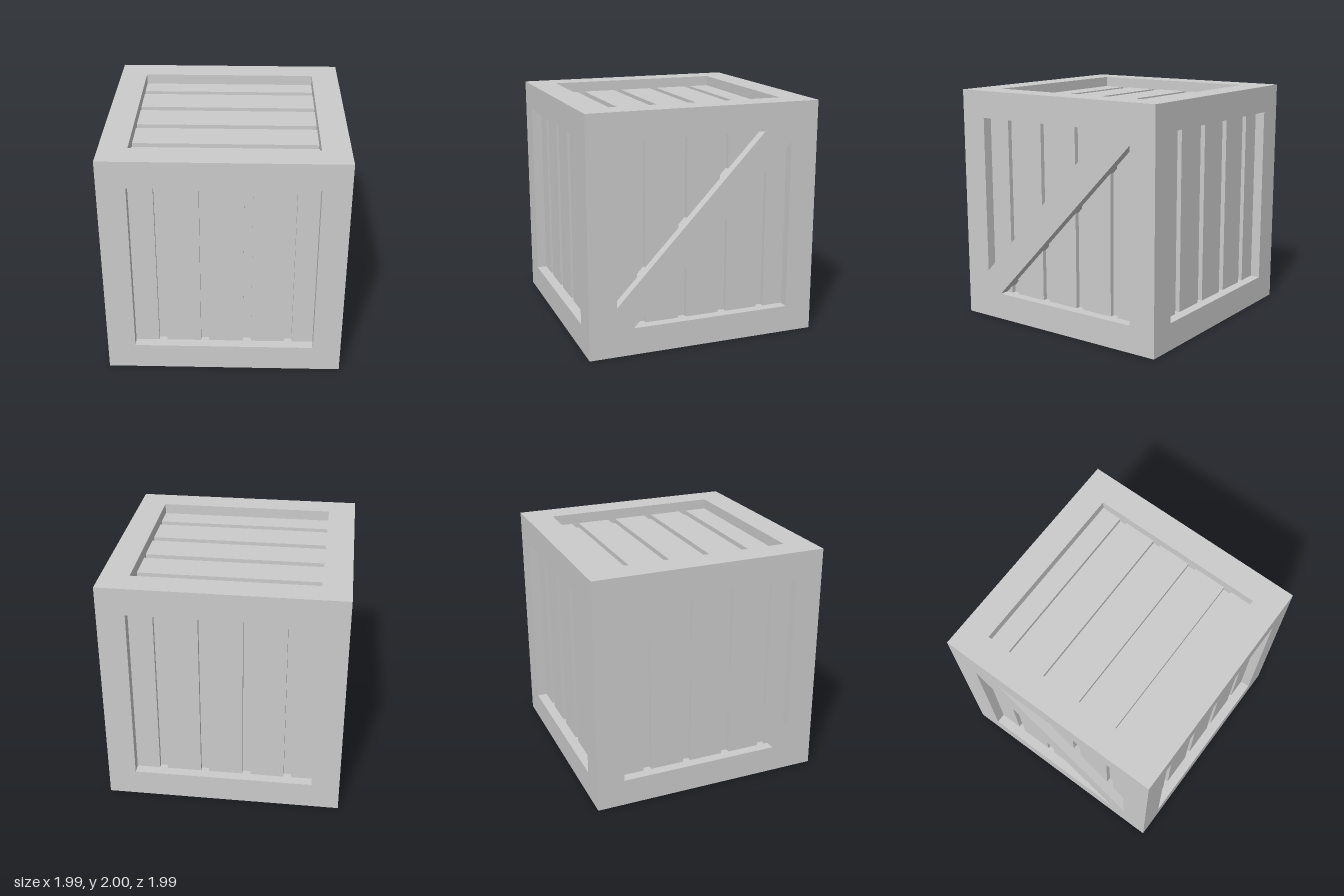
import * as THREE from 'three';

const HALF = 0.995;   // outer half width
const OPEN = 0.76;    // half width of the framed openings
const PLANK = 0.91;   // distance of plank faces from the centre
const CORE = 0.87;    // distance of the backing from the centre
const material = new THREE.MeshStandardMaterial({ color: 0xcccccc, flatShading: true });

function box(parent, name, w, h, d, x, y, z) {
  const mesh = new THREE.Mesh(new THREE.BoxGeometry(w, h, d), material);
  mesh.name = name;
  mesh.position.set(x, y, z);
  parent.add(mesh);
  return mesh;
}

// Five planks with narrow gaps, laid upright and facing +z
function plankPanel(name) {
  const panel = new THREE.Group();
  panel.name = name;
  const edges = [[-0.78, -0.56], [-0.49, -0.2], [-0.13, 0.16], [0.23, 0.515], [0.58, 0.78]];
  const depth = PLANK - CORE + 0.02;
  for (const [a, b] of edges) {
    box(panel, 'plank', b - a, 2 * OPEN + 0.04, depth, (a + b) / 2, 0, PLANK - depth / 2);
  }
  return panel;
}

// Diagonal board across a side opening, facing +x
function brace(name, side) {
  const shape = new THREE.Shape([
    [-0.76, -0.77], [-0.62, -0.77], [0.76, 0.67], [0.76, 0.77], [0.52, 0.77], [-0.76, -0.58],
  ].map(([u, v]) => new THREE.Vector2(side * u, v)));
  const depth = HALF - CORE;
  const geometry = new THREE.ExtrudeGeometry(shape, { depth, bevelEnabled: false });
  geometry.translate(0, 0, CORE);
  const mesh = new THREE.Mesh(geometry, material);
  mesh.name = name;
  mesh.rotation.y = side * Math.PI / 2;
  return mesh;
}

export function createModel() {
  const model = new THREE.Group();
  model.name = 'crate';
  const body = new THREE.Group();
  body.name = 'body';
  body.position.y = 1;
  model.add(body);

  box(body, 'core', 2 * CORE, 2 * CORE, 2 * CORE, 0, 0, 0);

  // Frame: corner posts, and rails around the top and bottom
  const frame = new THREE.Group();
  frame.name = 'frame';
  body.add(frame);
  const beam = HALF - OPEN, mid = (HALF + OPEN) / 2;
  for (const a of [-1, 1]) {
    for (const b of [-1, 1]) {
      box(frame, 'cornerPost', beam, 2 * OPEN + 0.02, beam, a * mid, 0, b * mid);
      box(frame, 'longRail', 2 * HALF, 0.23, beam, 0, a * 0.885, b * mid);
      box(frame, 'sideRail', beam, 0.23, 2 * OPEN, b * mid, a * 0.885, 0);
    }
  }

  // Plank panels on all six faces
  const panels = [
    ['frontPanel', 0, 0, 0], ['backPanel', 0, Math.PI, 0],
    ['leftPanel', 0, Math.PI / 2, 0], ['rightPanel', 0, -Math.PI / 2, 0],
    ['topPanel', -Math.PI / 2, 0, Math.PI / 2], ['bottomPanel', Math.PI / 2, 0, Math.PI / 2],
  ];
  for (const [name, x, y, z] of panels) {
    const panel = plankPanel(name);
    panel.rotation.set(x, y, z);
    body.add(panel);
  }

  // Mirrored braces on the two sides
  body.add(brace('leftBrace', 1), brace('rightBrace', -1));
  return model;
}
